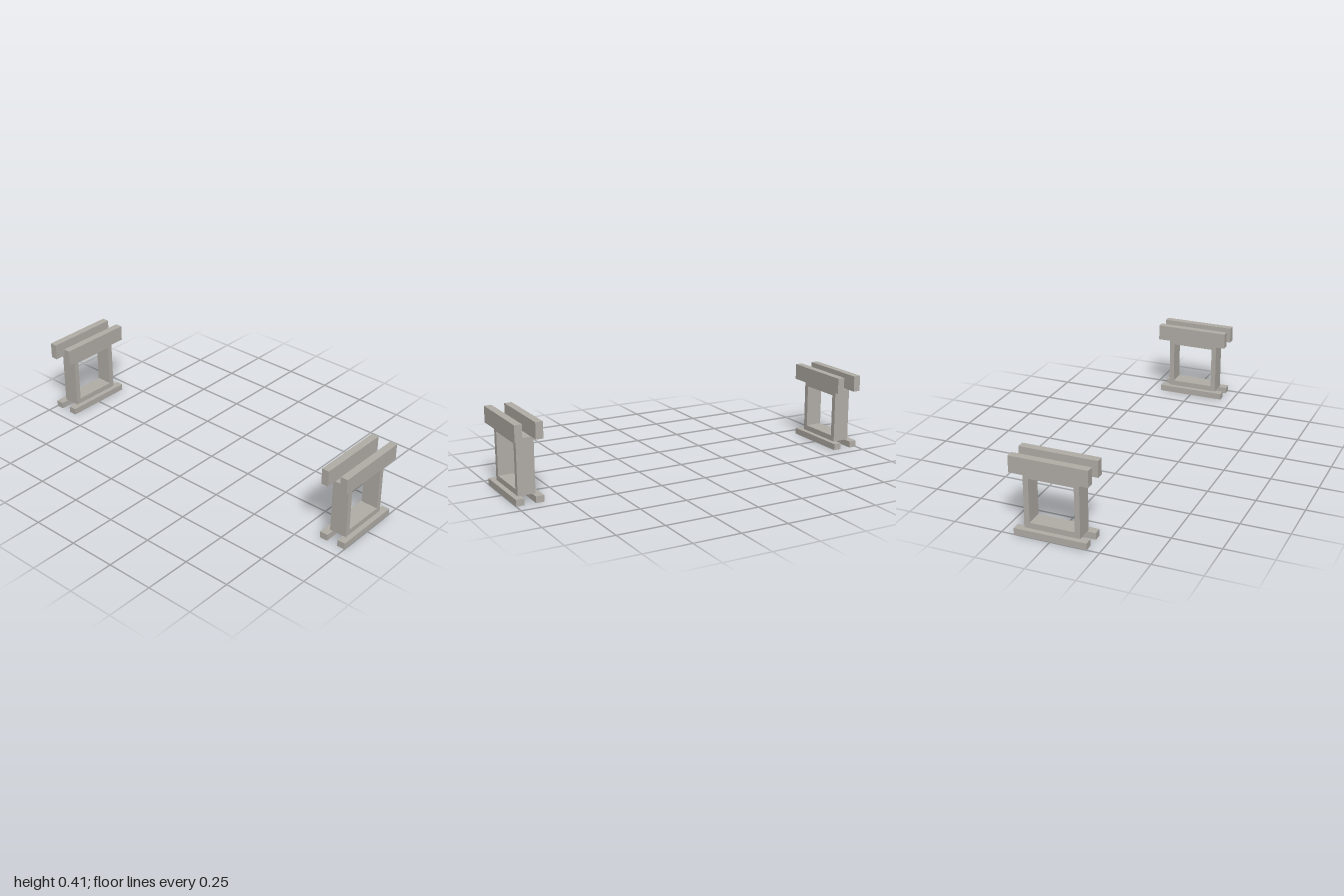
import * as THREE from 'three';

export function createModel() {
  const model = new THREE.Group();
  model.name = 'pairedStands';
  const stone = new THREE.MeshStandardMaterial({ color: 0xb2aea8 });
  stone.name = 'warm grey';

  const add = (group, name, geometry, x, y, z) => {
    const mesh = new THREE.Mesh(geometry, stone);
    mesh.name = name;
    mesh.position.set(x, y, z);
    group.add(mesh);
  };

  // Square ring, drawn in z-y and extruded across x
  const frameDepth = 0.092;
  const rect = (path, w, y0, y1) => path
    .moveTo(-w, y0).lineTo(w, y0).lineTo(w, y1).lineTo(-w, y1).closePath();
  const outline = rect(new THREE.Shape(), 0.142, 0.034, 0.32);
  outline.holes.push(rect(new THREE.Path(), 0.115, 0.063, 0.291));
  const frame = new THREE.ExtrudeGeometry(outline, { depth: frameDepth, bevelEnabled: false });
  frame.translate(0, 0, -frameDepth / 2).rotateY(Math.PI / 2);

  const topRail = new THREE.BoxGeometry(0.039, 0.085, 0.4);
  const baseRail = new THREE.BoxGeometry(0.043, 0.034, 0.371);

  // One stand on each side, each with paired rails above and below the frame
  for (const side of [1, -1]) {
    const stand = new THREE.Group();
    stand.name = side > 0 ? 'leftStand' : 'rightStand';
    stand.position.x = side * 0.9275;
    add(stand, 'frame', frame, 0, 0, 0);
    for (const s of [1, -1]) {
      const place = s === side ? 'outer' : 'inner';
      add(stand, place + 'TopRail', topRail, s * 0.053, 0.3625, 0);
      add(stand, place + 'BaseRail', baseRail, s * 0.051, 0.017, 0);
    }
    model.add(stand);
  }
  return model;
}
